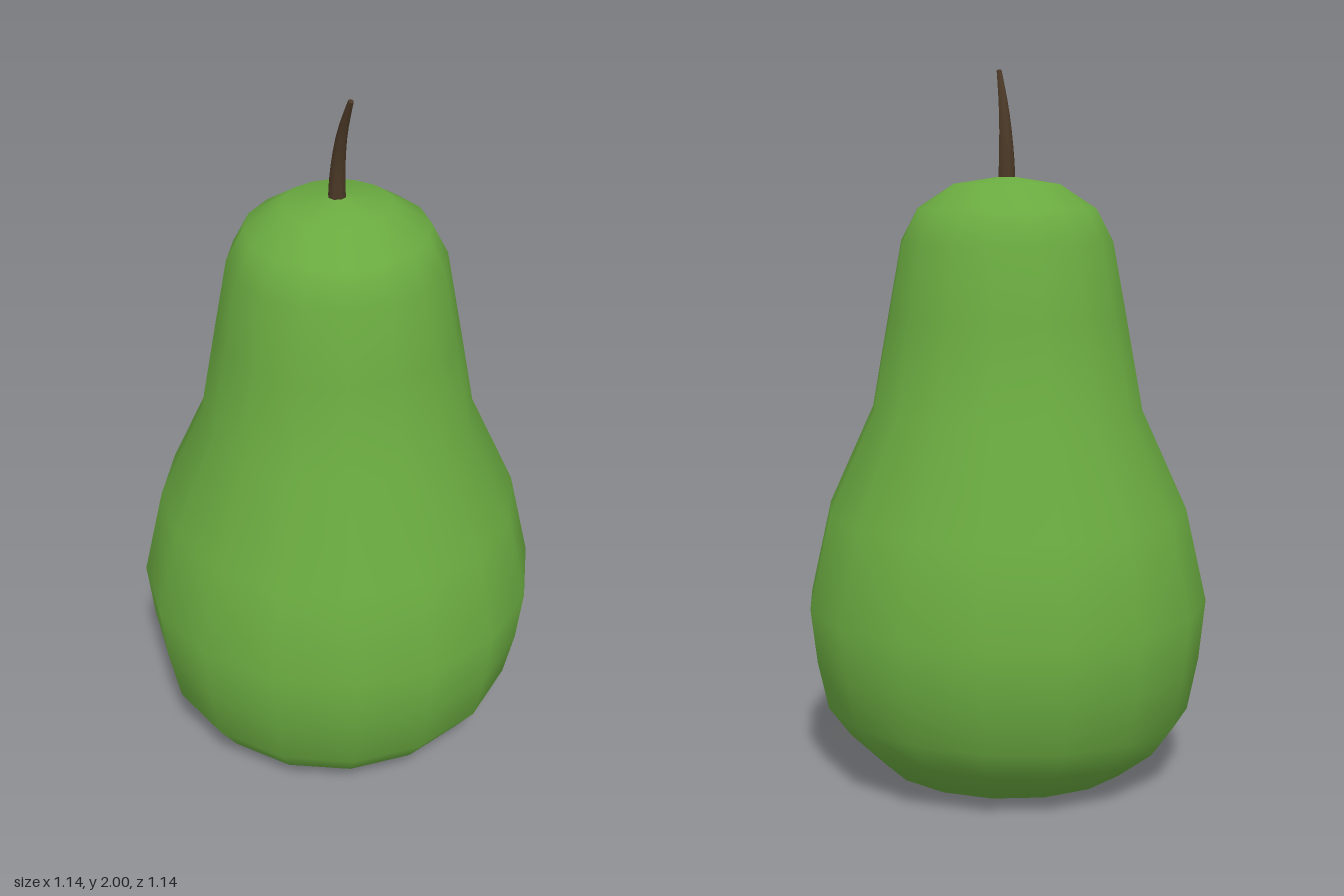
import * as THREE from 'three';

// Tapered stem: a tube whose rings shrink towards the tip, closed by a small cap
function createStem(material) {
  const points = [[1.66, -0.003], [1.77, 0], [1.88, 0.022], [1.945, 0.048], [1.997, 0.073]]
    .map(([y, z]) => new THREE.Vector3(0, y, z));
  const curve = new THREE.CatmullRomCurve3(points);
  const rings = 8, sides = 8;
  const geometry = new THREE.TubeGeometry(curve, rings, 0.026, sides);
  const pos = geometry.attributes.position;
  const v = new THREE.Vector3();
  for (let i = 0; i <= rings; i++) {
    const centre = curve.getPointAt(i / rings);
    const scale = 1 - 0.72 * Math.pow(i / rings, 1.2);
    for (let j = 0; j <= sides; j++) {
      const k = i * (sides + 1) + j;
      v.fromBufferAttribute(pos, k).sub(centre).multiplyScalar(scale).add(centre);
      pos.setXYZ(k, v.x, v.y, v.z);
    }
  }
  geometry.computeVertexNormals();
  const stem = new THREE.Group();
  stem.name = 'stem';
  const shaft = new THREE.Mesh(geometry, material);
  shaft.name = 'stemShaft';
  const cap = new THREE.Mesh(new THREE.CircleGeometry(0.0073, sides), material);
  cap.name = 'stemTip';
  cap.position.copy(curve.getPointAt(1));
  cap.lookAt(cap.position.clone().add(curve.getTangentAt(1)));
  stem.add(shaft, cap);
  return stem;
}

// Pear body: sixteen-sided turned profile with a slightly tilted underside
function createBody(material) {
  const profile = [
    [0, 0.005], [0.36, 0.035], [0.46, 0.118], [0.522, 0.205], [0.552, 0.35], [0.57, 0.515],
    [0.51, 0.78], [0.383, 1.06], [0.335, 1.325], [0.297, 1.53], [0.25, 1.62], [0.148, 1.687], [0, 1.71],
  ].map(([r, y]) => new THREE.Vector2(r, y));
  const geometry = new THREE.LatheGeometry(profile, 16);
  const pos = geometry.attributes.position;
  for (let i = 0; i < pos.count; i++) {
    const x = pos.getX(i), y = pos.getY(i), z = pos.getZ(i);
    const amount = y < 0.1 ? 0.015 : Math.max(0, 1 - y / 0.5) * 0.06;
    pos.setY(i, y + amount * (x - 0.6 * z));
  }
  const body = new THREE.Mesh(geometry, material);
  body.name = 'pearBody';
  return body;
}

export function createModel() {
  const green = new THREE.MeshStandardMaterial({ color: 0x6aaa40 });
  const brown = new THREE.MeshStandardMaterial({ color: 0x4a3826 });
  const model = new THREE.Group();
  model.name = 'pear';
  model.add(createBody(green), createStem(brown));
  return model;
}
